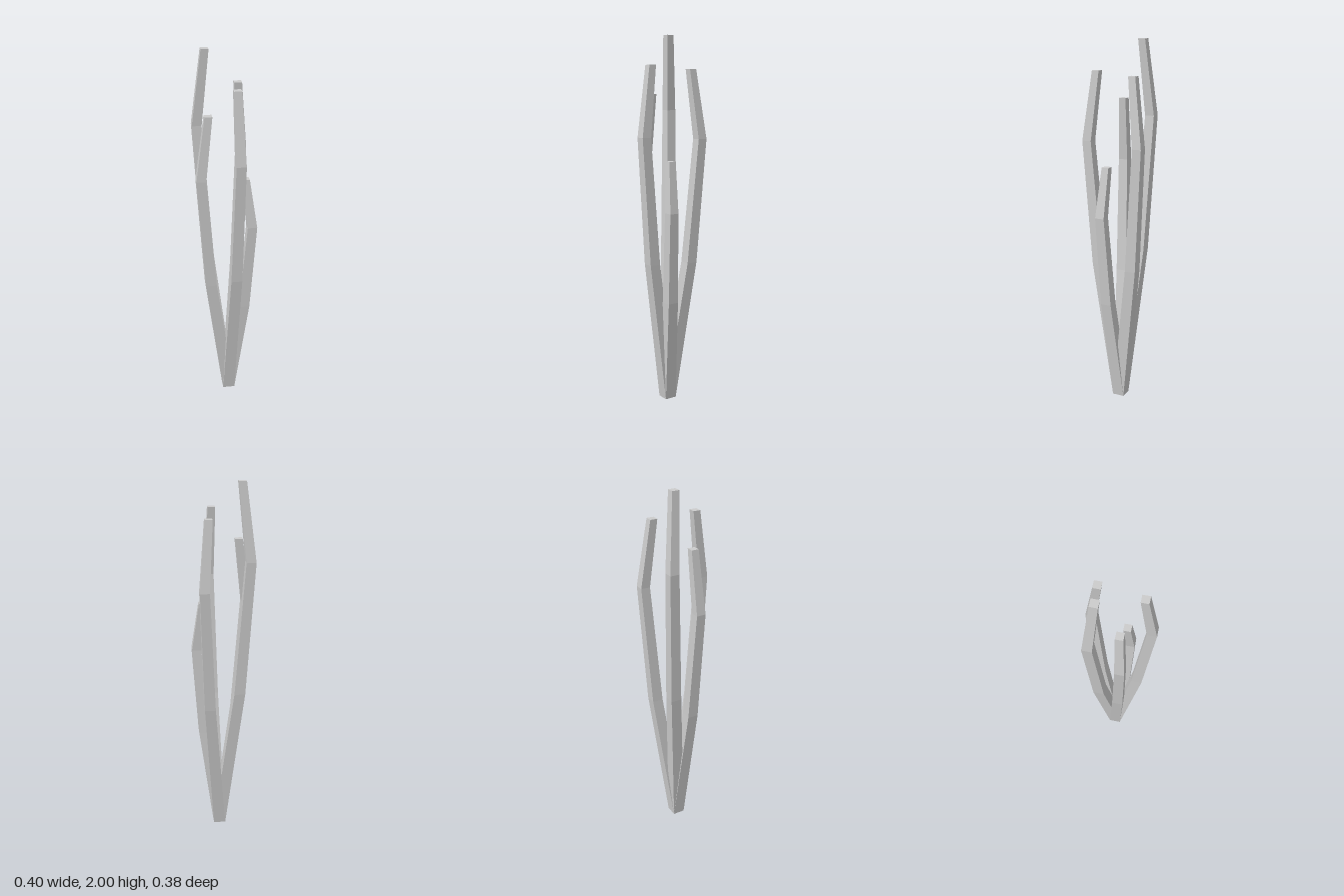
import * as THREE from 'three';

// Shared foot of all stems
const BASE = { x: 0.018, z: 0.015 };

// Stations from foot to tip: height share, outward share, half diagonal
const STATIONS = [
  [0, 0, 0.047],
  [0.43, 0.68, 0.042],
  [0.8, 1, 0.036],
  [1, 0.715, 0.028],
];

// Each stem: height and the centre of its widest bend
const STEMS = [
  { name: 'leftStemTall', height: 2.0, x: -0.167, z: 0.043 },
  { name: 'rearStem', height: 1.82, x: -0.023, z: -0.153 },
  { name: 'frontSideStem', height: 1.84, x: 0.165, z: 0.107 },
  { name: 'frontStem', height: 1.69, x: -0.055, z: 0.152 },
  { name: 'shortStem', height: 1.345, x: 0.14, z: -0.032 },
];

// Four-sided tapering stem that leans out, then bends back in at the tip
function stemGeometry({ height, x, z }) {
  const geometry = new THREE.CylinderGeometry(1, 1, 3, 4, 3);
  const p = geometry.attributes.position;
  for (let i = 0; i < p.count; i++) {
    const [rise, out, half] = STATIONS[Math.round(p.getY(i) + 1.5)];
    p.setXYZ(
      i,
      BASE.x + (x - BASE.x) * out + p.getX(i) * half,
      height * rise,
      BASE.z + (z - BASE.z) * out + p.getZ(i) * half
    );
  }
  geometry.computeVertexNormals();
  return geometry;
}

export function createModel() {
  const group = new THREE.Group();
  group.name = 'stemCluster';
  const material = new THREE.MeshStandardMaterial({ color: 0xcccccc, flatShading: true });
  for (const stem of STEMS) {
    const mesh = new THREE.Mesh(stemGeometry(stem), material);
    mesh.name = stem.name;
    group.add(mesh);
  }
  return group;
}
